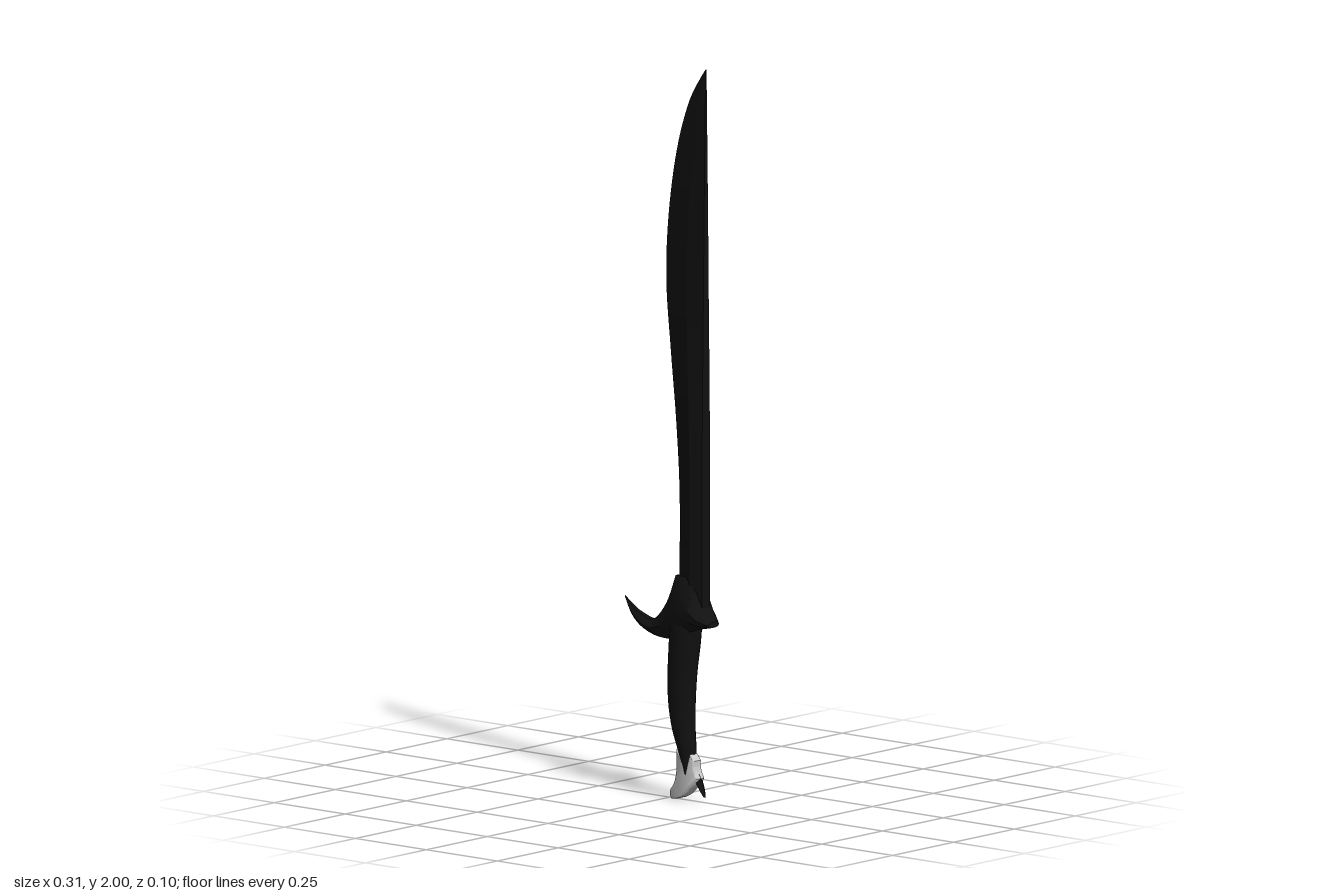
import * as THREE from 'three';
import { toCreasedNormals } from 'three/addons/utils/BufferGeometryUtils.js';

const dark = new THREE.MeshStandardMaterial({ color: 0x111111 });
const grey = new THREE.MeshStandardMaterial({ color: 0xcccccc });

// Smoothly resample rows of numbers, column by column
function resample(rows, n) {
  const curves = rows[0].map((_, c) =>
    new THREE.SplineCurve(rows.map((r, i) => new THREE.Vector2(i, r[c]))));
  return Array.from({ length: n + 1 }, (_, k) => curves.map(c => c.getPoint(k / n).y));
}

// Skin a list of equal-length rings (counter-clockwise seen from the far end), with capped ends
function loft(rings, crease = 0.6) {
  const m = rings[0].length;
  const pos = rings.flat(2);
  const index = [];
  for (let i = 0; i < rings.length - 1; i++) {
    for (let j = 0; j < m; j++) {
      const a = i * m + j, b = i * m + (j + 1) % m;
      index.push(a, b, b + m, a, b + m, a + m);
    }
  }
  const last = (rings.length - 1) * m;
  for (let j = 1; j < m - 1; j++) {
    index.push(0, j + 1, j);
    index.push(last, last + j, last + j + 1);
  }
  const g = new THREE.BufferGeometry();
  g.setAttribute('position', new THREE.Float32BufferAttribute(pos, 3));
  g.setIndex(index);
  return toCreasedNormals(g, crease);
}

function add(group, name, geometry, material) {
  const mesh = new THREE.Mesh(geometry, material);
  mesh.name = name;
  group.add(mesh);
  return mesh;
}

export function createModel() {
  const group = new THREE.Group();
  group.name = 'sword';

  // Blade: straight spine, bellied cutting edge; rows are [edge x, y, half thickness]
  const spine = 0.128;
  const bladeRows = resample([
    [0.03, 0.5, 0.024], [0.035, 0.68, 0.024], [0.034, 0.86, 0.024], [0.022, 1.04, 0.022],
    [0.004, 1.22, 0.019], [-0.012, 1.41, 0.015], [-0.004, 1.59, 0.012],
    [0.025, 1.77, 0.008], [0.07, 1.91, 0.005], [0.126, 2.0, 0.002],
  ], 54);
  add(group, 'blade', loft(bladeRows.map(([x, y, t]) => {
    const ridge = x + (spine - x) * 0.6;
    return [[spine, y, t * 0.7], [spine, y, -t * 0.7], [ridge, y, -t], [x, y, 0], [ridge, y, t]];
  }), 0.2), dark);

  // Guard: hooked toward the cutting edge; rows are [x, bottom y, top y, half depth]
  const guardRows = resample([
    [-0.157, 0.53, 0.535, 0.001], [-0.13, 0.491, 0.512, 0.011], [-0.1, 0.463, 0.495, 0.017],
    [-0.05, 0.444, 0.484, 0.026], [0, 0.439, 0.535, 0.035], [0.035, 0.444, 0.615, 0.041],
  ], 25).concat([
    [0.07, 0.458, 0.615, 0.047], [0.105, 0.473, 0.59, 0.051],
    [0.128, 0.479, 0.535, 0.043], [0.154, 0.484, 0.5, 0.023],
  ]);
  add(group, 'guard', loft(guardRows.map(([x, b, t, d]) => {
    const y = f => b + (t - b) * f;
    return [
      [x, y(0), -d * 0.5], [x, y(0.2), -d * 0.9], [x, y(0.45), -d], [x, y(0.75), -d * 0.72], [x, t, -d * 0.4],
      [x, t, d * 0.4], [x, y(0.75), d * 0.72], [x, y(0.45), d], [x, y(0.2), d * 0.9], [x, y(0), d * 0.5],
    ];
  }), 0.5), dark);

  // Grip: oval, ending in a tongue over the pommel; rows are [left x, right x, y, half depth]
  const gripRows = resample([
    [0.066, 0.072, 0.075, 0.018], [0.052, 0.083, 0.105, 0.023], [0.035, 0.086, 0.145, 0.026],
    [0.016, 0.082, 0.2, 0.031], [0.004, 0.082, 0.27, 0.035], [0.003, 0.087, 0.35, 0.038],
    [0.008, 0.098, 0.43, 0.041], [0.012, 0.105, 0.5, 0.041],
  ], 28);
  add(group, 'grip', loft(gripRows.map(([l, r, y, d]) =>
    Array.from({ length: 16 }, (_, k) => {
      const a = k / 16 * Math.PI * 2;
      return [(l + r) / 2 + Math.cos(a) * (r - l) / 2, y, -Math.sin(a) * d];
    }))), dark);

  // Pommel: pale flared cap with a beak toward the cutting edge
  const cap = new THREE.Shape();
  cap.moveTo(0.036, 0.142);
  cap.bezierCurveTo(0.034, 0.1, 0.042, 0.06, 0.014, 0.03);
  cap.quadraticCurveTo(0.01, 0.012, 0.018, 0.004);
  cap.quadraticCurveTo(0.06, 0.006, 0.085, 0.036);
  cap.quadraticCurveTo(0.102, 0.048, 0.11, 0.068);
  cap.quadraticCurveTo(0.094, 0.09, 0.098, 0.115);
  cap.lineTo(0.084, 0.132);
  cap.lineTo(0.07, 0.09);
  cap.closePath();
  const capGeometry = new THREE.ExtrudeGeometry(cap, {
    depth: 0.02, bevelEnabled: true, bevelThickness: 0.007, bevelSize: 0.004,
    bevelOffset: -0.004, bevelSegments: 3, curveSegments: 8,
  });
  capGeometry.translate(0, 0, -0.01);
  add(group, 'pommel', toCreasedNormals(capGeometry, 0.7), grey);

  // Small dark claw behind the pommel; rows are [left x, right x, y, half depth]
  const clawRows = resample([
    [0.122, 0.125, 0.018, 0.004], [0.107, 0.122, 0.037, 0.011],
    [0.093, 0.114, 0.06, 0.014], [0.09, 0.104, 0.08, 0.01],
  ], 9);
  add(group, 'claw', loft(clawRows.map(([l, r, y, d]) =>
    [[r, y, 0], [(l + r) / 2, y, -d], [l, y, 0], [(l + r) / 2, y, d]])), dark);

  return group;
}
